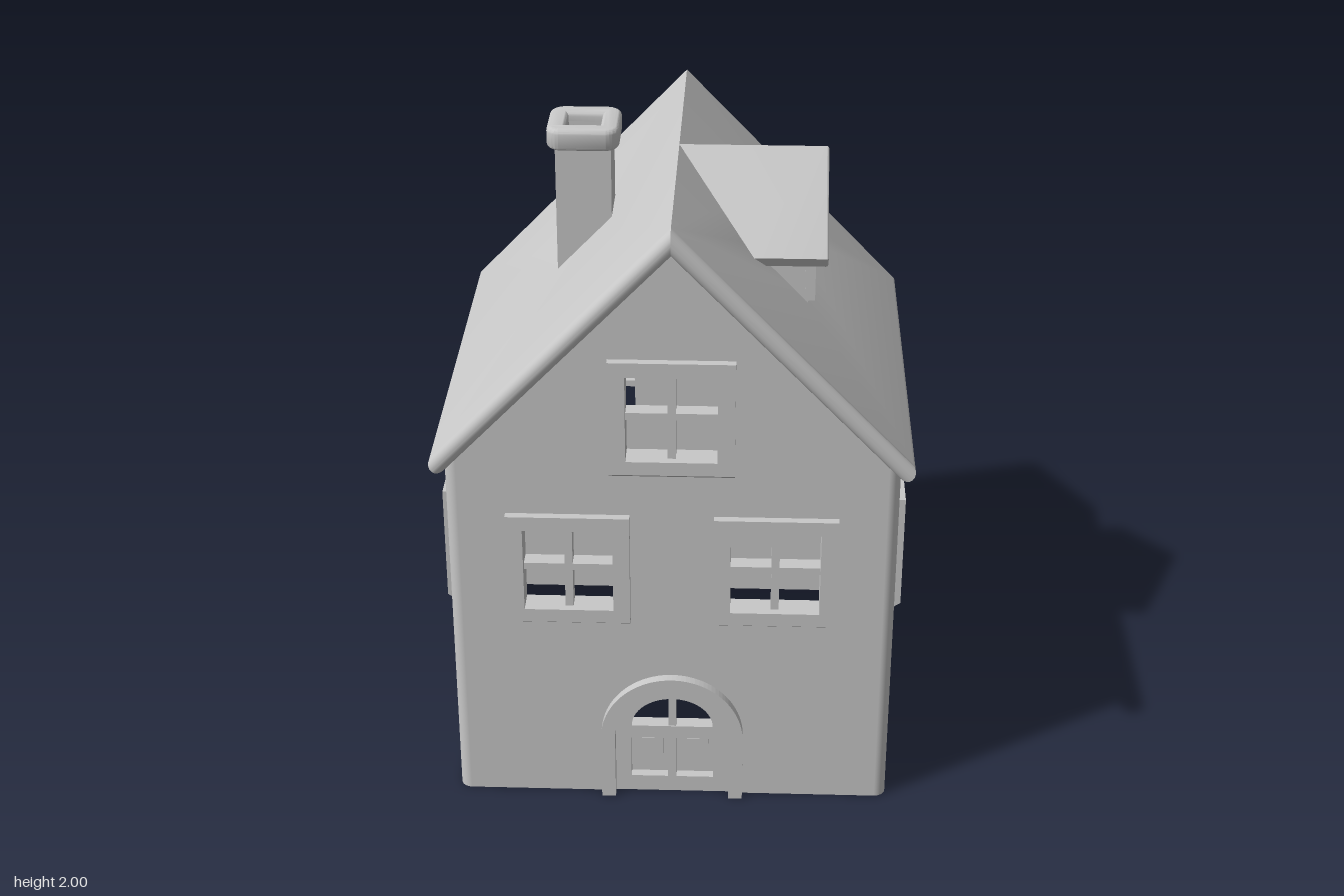
import * as THREE from 'three';
import { toCreasedNormals } from 'three/addons/utils/BufferGeometryUtils.js';

const HW = 0.665, HD = 0.622, WALL = 0.055, R = 0.035; // house half width, half depth, wall, corner radius
const SLOPE = 1.042, RIDGE = 1.885;                     // roof centre line: y = RIDGE - SLOPE * |x|
const DORMER_Z = 0.017, CHIMNEY_X = -0.283;

const gray = new THREE.MeshStandardMaterial({ color: 0xc8c8c8 });
gray.name = 'plain gray';

function mesh(name, geo, parent, x = 0, y = 0, z = 0) {
  const m = new THREE.Mesh(geo, gray);
  m.name = name;
  m.position.set(x, y, z);
  parent.add(m);
  return m;
}
function group(name, parent, x = 0, y = 0, z = 0, ry = 0) {
  const g = new THREE.Group();
  g.name = name;
  g.position.set(x, y, z);
  g.rotation.y = ry;
  parent.add(g);
  return g;
}
const poly = (pts) => new THREE.Shape(pts.map(([x, y]) => new THREE.Vector2(x, y)));
const rect = (x0, x1, y0, y1) => poly([[x0, y0], [x1, y0], [x1, y1], [x0, y1]]);
const bar = (name, parent, w, h, d, x, y, z) => mesh(name, new THREE.BoxGeometry(w, h, d), parent, x, y, z);

function extrude(shape, depth, bevel = 0, holes = []) {
  shape.holes.push(...holes);
  return new THREE.ExtrudeGeometry(shape, {
    depth, curveSegments: 24, bevelEnabled: bevel > 0,
    bevelSize: bevel, bevelThickness: bevel, bevelSegments: 5,
  });
}
// Move every vertex by a rule, then rebuild the normals
function reshape(geo, rule) {
  const p = geo.attributes.position, v = new THREE.Vector3();
  for (let i = 0; i < p.count; i++) {
    rule(v.fromBufferAttribute(p, i));
    p.setXYZ(i, v.x, v.y, v.z);
  }
  return toCreasedNormals(geo, 0.6);
}
function arch(r, base, cy) {
  const s = new THREE.Shape();
  s.moveTo(-r, base);
  s.lineTo(r, base);
  s.lineTo(r, cy);
  s.absarc(0, cy, r, 0, Math.PI, false);
  s.closePath();
  return s;
}
function roundedSquare(h, r) {
  const s = new THREE.Shape();
  [[1, 1], [-1, 1], [-1, -1], [1, -1]].forEach(([a, b], i) =>
    s.absarc(a * (h - r), b * (h - r), r, i * Math.PI / 2, (i + 1) * Math.PI / 2, false));
  s.closePath();
  return s;
}

// Cross-barred window facing +z, centred on its opening
const WW = 0.133, WH = 0.136;
const opening = (x, y) => rect(x - WW, x + WW, y - WH, y + WH);
function addWindow(parent, x, y, z) {
  const g = group('window', parent, x, y, z);
  const frame = extrude(rect(-0.183, 0.183, -0.203, 0.182), 0.035, 0, [opening(0, 0)]);
  reshape(frame, (v) => { if (v.y < -0.2 && v.z > 0.01) v.y += 0.024; }); // sloping sill
  mesh('windowFrame', frame, g, 0, 0, -0.01);
  bar('windowBar', g, 0.024, 2 * WH, 0.05, 0, 0, -0.025);
  bar('windowBar', g, 2 * WW, 0.022, 0.05, 0, 0, -0.025);
}

// Gable wall with its windows and an optional doorway
function addGableWall(house, name, ry, windows, door) {
  const g = group(name, house, 0, 0, 0, ry);
  const w = HW - R, s = new THREE.Shape();
  s.moveTo(-w, 0);
  if (door) {
    s.lineTo(-0.177, 0);
    s.lineTo(-0.177, 0.222);
    s.absarc(0, 0.222, 0.177, Math.PI, 0, true);
    s.lineTo(0.177, 0);
  }
  s.lineTo(w, 0);
  s.lineTo(w, RIDGE - 0.01 - SLOPE * w);
  s.lineTo(0, RIDGE - 0.01);
  s.lineTo(-w, RIDGE - 0.01 - SLOPE * w);
  s.closePath();
  mesh('gable', extrude(s, WALL, 0, windows.map(([x, y]) => opening(x, y))), g, 0, 0, HD - WALL);
  windows.forEach(([x, y]) => addWindow(g, x, y, HD));
  if (door) addDoor(g);
}

function addDoor(parent) {
  const g = group('door', parent, 0, 0, HD);
  const surround = arch(0.218, 0, 0.222), inner = new THREE.Shape();
  surround.curves.length = 0; // horseshoe outline, open at the foot
  surround.moveTo(0.175, 0);
  surround.lineTo(0.218, 0);
  surround.lineTo(0.218, 0.222);
  surround.absarc(0, 0.222, 0.218, 0, Math.PI, false);
  surround.lineTo(-0.218, 0);
  surround.lineTo(-0.175, 0);
  surround.lineTo(-0.175, 0.222);
  surround.absarc(0, 0.222, 0.175, Math.PI, 0, true);
  surround.closePath();
  mesh('doorSurround', extrude(surround, 0.045), g, 0, 0, -0.015);
  // Leaf with a half-round light and two lower panels
  inner.moveTo(-0.125, 0.245);
  inner.lineTo(0.125, 0.245);
  inner.absellipse(0, 0.245, 0.125, 0.102, 0, Math.PI, false);
  const panels = [-1, 1].map((s) => rect(s * 0.07 - 0.057, s * 0.07 + 0.057, 0.055, 0.2));
  mesh('doorLeaf', extrude(arch(0.176, 0, 0.222), 0.045, 0, [inner, ...panels]), g, 0, 0, -0.05);
  bar('doorLightBar', g, 0.024, 0.105, 0.04, 0, 0.295, -0.028);
  for (const s of [-1, 1]) {
    bar('doorPanelBack', g, 0.116, 0.147, 0.012, s * 0.07, 0.1275, -0.04);
    bar('doorPanel', g, 0.085, 0.115, 0.012, s * 0.07, 0.1275, -0.03);
  }
}

function addSideWall(house, name, side) {
  const g = group(name, house, 0, 0, 0, side * Math.PI / 2);
  const xs = [0.322, -0.288].map((z) => -side * z);
  const s = rect(-HD + R, HD - R, 0, 1.22);
  mesh('wall', extrude(s, WALL, 0, xs.map((x) => opening(x, 0.82))), g, 0, 0, HW - WALL);
  xs.forEach((x) => addWindow(g, x, 0.82, HW));
}

// One roof slope with rounded edges, mitred at the ridge (built for +x)
function roofSlab(hole) {
  const b = 0.028, a = Math.atan(SLOPE), c = Math.cos(a), s = Math.sin(a);
  const geo = extrude(rect(-0.08, 0.972, -0.67 + b, 0.67 - b), 0.002, b, [hole]);
  return reshape(geo, (v) => {
    const t = v.z - 0.001;
    const u = Math.max(v.x, -t * s / c);
    v.set(u * c + t * s, RIDGE - u * s + t * c, -v.y);
  });
}

function addDormer(house) {
  const g = group('dormer', house, 0, 0, DORMER_Z);
  const front = group('dormerFront', g, 0, 0, 0, Math.PI / 2);
  const k = 0.82;
  const house5 = (w, y0, top) => poly([[-w, y0], [w, y0], [w, top - k * w], [0, top], [-w, top - k * w]]);
  mesh('dormerWall', extrude(house5(0.228, 1.5, 1.88), 0.045, 0, [house5(0.182, 1.57, 1.82)]), front, 0, 0, 0.345);
  mesh('dormerFrame', extrude(house5(0.233, 1.53, 1.88), 0.03, 0, [house5(0.182, 1.57, 1.82)]), front, 0, 0, 0.38);
  mesh('dormerSash', extrude(house5(0.184, 1.568, 1.822), 0.03, 0, [house5(0.162, 1.598, 1.79)]), front, 0, 0, 0.36);
  bar('dormerBar', front, 0.02, 0.2, 0.025, 0, 1.695, 0.375);
  bar('dormerBar', front, 0.33, 0.018, 0.025, 0, 1.648, 0.375);
  // Cheeks whose foot follows the main roof
  for (const s of [-1, 1]) {
    const cheek = new THREE.BoxGeometry(0.19, 0.2, 0.035).translate(0.275, 1.6, 0).toNonIndexed();
    reshape(cheek, (v) => { v.y = v.y > 1.6 ? 1.7 : RIDGE - SLOPE * v.x; });
    mesh('dormerCheek', cheek, g, 0, 0, s * 0.21);
  }
  // Chevron roof, its rear cut to the main slope
  const b = 0.007, e = 0.28, top = 1.918;
  const chevron = poly([
    [0, top], [-e, top - k * e], [-e + 0.021, top - k * e - 0.026],
    [0, top - 0.041], [e - 0.021, top - k * e - 0.026], [e, top - k * e],
  ]);
  const geo = extrude(chevron, 0.431, b).rotateY(Math.PI / 2);
  reshape(geo, (v) => {
    v.x = v.x < 0.1 ? Math.max(0, (RIDGE + 0.01 - v.y) / SLOPE) : v.x + b;
  });
  mesh('dormerRoof', geo, g);
}

function addChimney(house) {
  const g = group('chimney', house, CHIMNEY_X, 0, 0);
  const stack = extrude(rect(-0.083, 0.083, -0.083, 0.083), 0.5, 0, [rect(-0.051, 0.051, -0.049, 0.049)]);
  stack.rotateX(-Math.PI / 2);
  reshape(stack, (v) => { v.y = v.y > 0.25 ? 1.97 : RIDGE + SLOPE * (v.x + CHIMNEY_X); });
  mesh('chimneyStack', stack, g);
  const b = 0.016;
  const cap = extrude(roundedSquare(0.108 - b, 0.03), 0.068 - 2 * b, b, [rect(-0.051 - b, 0.051 + b, -0.049 - b, 0.049 + b)]);
  mesh('chimneyCap', toCreasedNormals(cap.rotateX(-Math.PI / 2), 0.6), g, 0, 1.932 + b, 0);
}

export function createModel() {
  const house = new THREE.Group();
  house.name = 'house';
  const lower = [[-0.307, 0.82], [0.307, 0.82]];
  addGableWall(house, 'frontWall', 0, [...lower, [0, 1.33]], true);
  addGableWall(house, 'backWall', Math.PI, lower, false);
  addSideWall(house, 'leftWall', 1);
  addSideWall(house, 'rightWall', -1);
  // Rounded corners
  for (const sx of [-1, 1]) for (const sz of [-1, 1]) {
    mesh('cornerPost', new THREE.CylinderGeometry(R, R, 1.2, 32), house, sx * (HW - R), 0.6, sz * (HD - R));
  }
  // Roof slopes, open beneath the dormer and the chimney
  mesh('leftRoof', roofSlab(rect(0.3, 0.49, -DORMER_Z - 0.19, -DORMER_Z + 0.19)), house);
  const u = -CHIMNEY_X * Math.hypot(1, SLOPE);
  mesh('rightRoof', roofSlab(rect(u - 0.09, u + 0.09, -0.077, 0.077)), house).rotation.y = Math.PI;
  addDormer(house);
  addChimney(house);
  return house;
}
